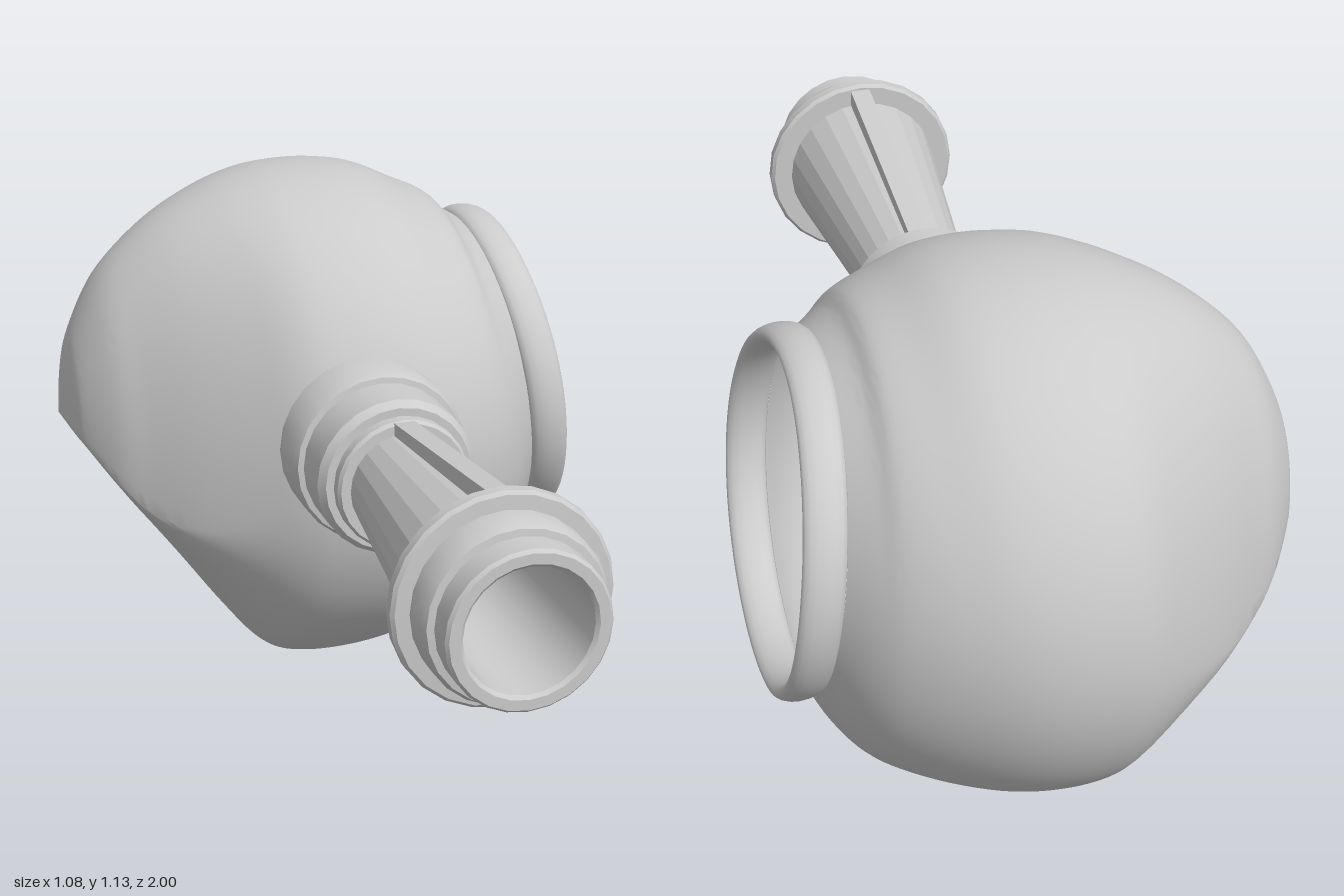
import * as THREE from 'three';
import { toCreasedNormals } from 'three/addons/utils/BufferGeometryUtils.js';
import { ParametricGeometry } from 'three/addons/geometries/ParametricGeometry.js';

const AXIS = { x: 0.018, y: 0.655 }; // handle axis, running along z

export function createModel() {
  const group = new THREE.Group();
  const material = new THREE.MeshStandardMaterial({ color: 0xcccccc, side: THREE.DoubleSide });
  const add = (name, geometry, parent = group) => {
    const mesh = new THREE.Mesh(geometry, material);
    mesh.name = name;
    parent.add(mesh);
    return mesh;
  };

  // Body cross-sections along x: [x, top, bottom, widest height, half width, lean]
  const sections = [
    [-0.54, 0.605, 0.6, 0.602, 0, 0],
    [-0.52, 0.73, 0.572, 0.58, 0.1, 0],
    [-0.5, 0.8, 0.545, 0.56, 0.15, 0],
    [-0.45, 0.9, 0.475, 0.5, 0.225, 0],
    [-0.39, 0.97, 0.39, 0.45, 0.285, 0],
    [-0.3, 1.04, 0.265, 0.44, 0.37, 0],
    [-0.2, 1.09, 0.125, 0.48, 0.45, 0],
    [-0.12, 1.115, 0.03, 0.53, 0.505, 0],
    [-0.05, 1.127, 0.005, 0.55, 0.532, 0],
    [0.05, 1.13, 0.007, 0.56, 0.545, 0],
    [0.15, 1.115, 0.025, 0.57, 0.535, 0],
    [0.25, 1.075, 0.062, 0.58, 0.5, 0.02],
    [0.33, 1.045, 0.115, 0.59, 0.455, 0.06],
    [0.38, 1.01, 0.195, 0.61, 0.41, 0.11],
    [0.43, 0.98, 0.29, 0.635, 0.35, 0.13],
  ];
  const spline = (k) => new THREE.CatmullRomCurve3(
    sections.map((s) => new THREE.Vector3(s[k], s[k + 1], s[k + 2])), false, 'catmullrom', 0.5);
  const outline = spline(0), girth = spline(3);
  const a = new THREE.Vector3(), b = new THREE.Vector3();
  let body = new ParametricGeometry((u, v, target) => {
    outline.getPoint(u, a);
    girth.getPoint(u, b);
    const angle = v * Math.PI * 2, sin = Math.sin(angle);
    const y = b.x + sin * (sin > 0 ? a.y - b.x : b.x - a.z);
    const centre = -0.455 - 0.025 * Math.max(0, -a.x / 0.54) + 0.025 * Math.max(0, a.x / 0.43);
    target.set(a.x - b.z * (y - 0.63), y, centre + Math.max(0, b.y) * Math.cos(angle));
  }, 84, 96);

  // Open the wall where the hollow handle enters
  const p = body.attributes.position, kept = [];
  for (let i = 0; i < body.index.count; i += 3) {
    const tri = [0, 1, 2].map((k) => body.index.getX(i + k));
    const inHole = tri.every((n) =>
      p.getZ(n) > -0.2 && Math.hypot(p.getX(n) - AXIS.x, p.getY(n) - AXIS.y) < 0.15);
    if (!inHole) kept.push(...tri);
  }
  body.setIndex(kept);
  body = toCreasedNormals(body, 0.6);
  add('body', body);

  // Rounded lip around the side opening, leaning with the wall
  add('openingRim', new ParametricGeometry((u, v, target) => {
    const t = u * Math.PI * 2, s = v * Math.PI * 2;
    const swell = 0.02 * Math.cos(s);
    const y = (0.343 + swell) * Math.sin(t);
    target.set(0.46 - 0.12 * y + 0.012 * Math.cos(t) ** 2 + 0.042 * Math.sin(s),
      0.635 + y, -0.432 + (0.35 + swell) * Math.cos(t));
  }, 72, 16));

  // Hollow handle turned about its axis: points are [radius, z]
  const handle = new THREE.Group();
  handle.name = 'handle';
  handle.position.set(AXIS.x, AXIS.y, 0);
  group.add(handle);
  const turned = (name, points, crease) => {
    const g = new THREE.LatheGeometry(points.map(([r, z]) => new THREE.Vector2(r, z)), 24);
    g.rotateX(Math.PI / 2);
    add(name, toCreasedNormals(g, crease), handle);
  };
  turned('neckCollar', [
    [0.1, 0.01], [0.175, 0.01], [0.187, 0.025], [0.187, 0.12], [0.18, 0.135], [0.168, 0.137],
    [0.168, 0.235], [0.155, 0.252], [0.132, 0.252], [0.14, 0.257], [0.14, 0.28], [0.134, 0.288],
    [0.1, 0.288],
  ], 0.6);
  turned('grip', [[0.113, 0.28], [0.17, 0.835]], 0.2);
  turned('endCollar', [
    [0.15, 0.828], [0.21, 0.828], [0.217, 0.835], [0.217, 0.856], [0.21, 0.863], [0.182, 0.865],
    [0.182, 0.92], [0.174, 0.935], [0.16, 0.937], [0.16, 0.993], [0.154, 1], [0.133, 1],
    [0.126, 0.993],
  ], 0.6);
  turned('bore', [[0.126, 0.993], [0.122, 0.85], [0.09, 0.27], [0.09, 0.01], [0.1, 0.01]], 0.6);

  // Straight ribs above and below the grip
  const fin = new THREE.Shape([[0.28, 0.1], [0.835, 0.155], [0.835, 0.205], [0.28, 0.136]]
    .map(([z, r]) => new THREE.Vector2(z, r)));
  for (const side of [1, -1]) {
    const g = new THREE.ExtrudeGeometry(fin, { depth: 0.044, bevelEnabled: false });
    g.translate(0, 0, -0.022);
    g.rotateY(-Math.PI / 2);
    if (side < 0) g.rotateZ(Math.PI);
    add(side > 0 ? 'upperRib' : 'lowerRib', g, handle);
  }
  return group;
}
